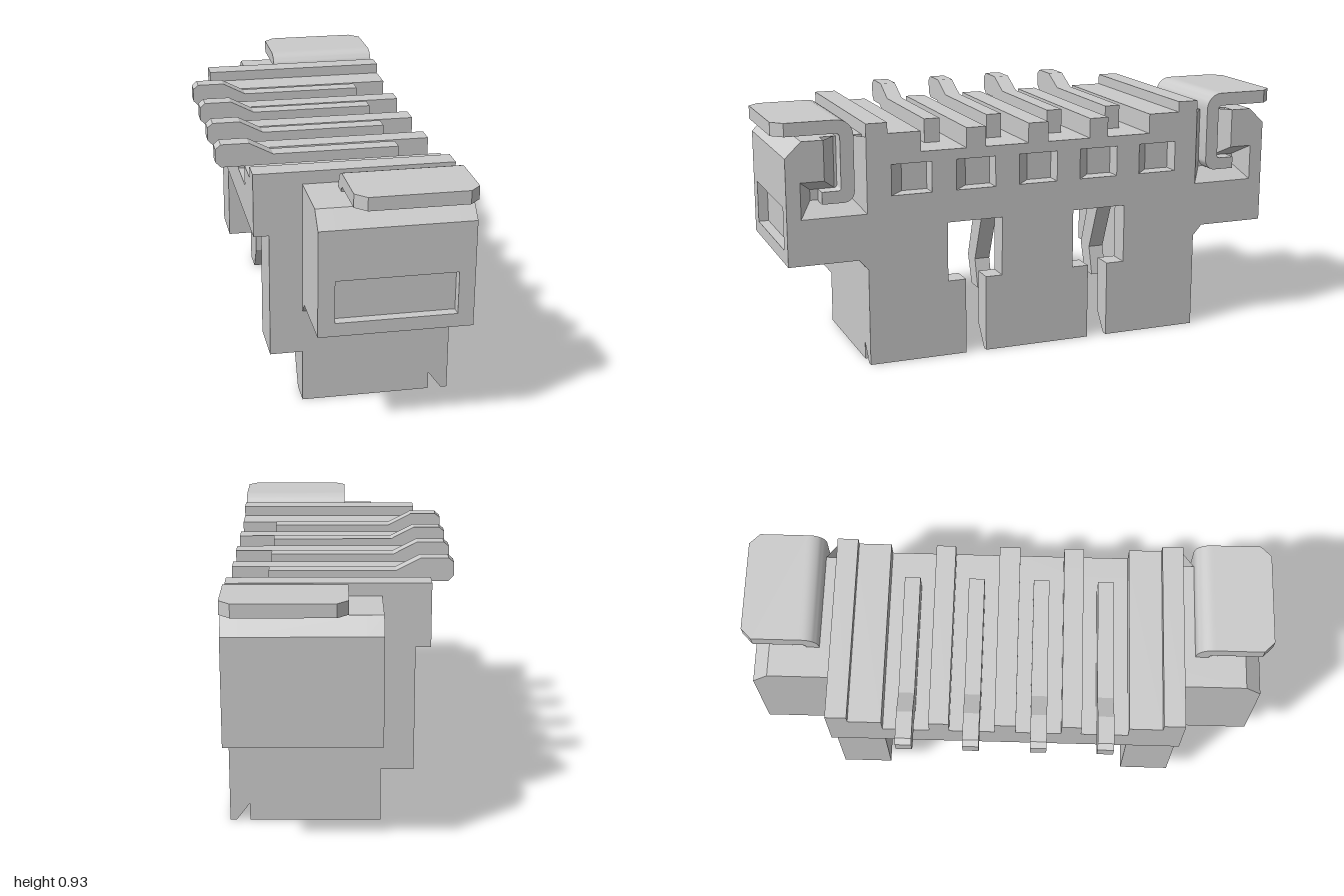
import * as THREE from 'three';
import { toCreasedNormals } from 'three/addons/utils/BufferGeometryUtils.js';

const plastic = new THREE.MeshStandardMaterial({ color: 0xcbcbcb, side: THREE.DoubleSide });
plastic.name = 'light grey';

const FACE = 0.413; // x of the slotted long face
const toShape = (pts) => new THREE.Shape(pts.map(([a, b]) => new THREE.Vector2(a, b)));
const prism = (shape, depth) => new THREE.ExtrudeGeometry(shape, { depth, bevelEnabled: false });

// Extrude a (z, y) outline from x0 to x1
function alongX(pts, x0, x1, holes = []) {
  const flip = (list) => list.map(([z, y]) => [-z, y]);
  const shape = toShape(flip(pts));
  shape.holes = holes.map((h) => toShape(flip(h)));
  return prism(shape, x1 - x0).rotateY(Math.PI / 2).translate(x0, 0, 0);
}

// Extrude an (x, z) outline from y0 to y1
function alongY(pts, y0, y1) {
  return prism(toShape(pts.map(([x, z]) => [x, -z])), y1 - y0).rotateX(-Math.PI / 2).translate(0, y0, 0);
}

// Extrude an (x, y) outline from z0 to z1
const alongZ = (pts, z0, z1) => prism(toShape(pts), z1 - z0).translate(0, 0, z0);

// Points on an arc, angles in degrees
function arc(cz, cy, r, a0, a1, n = 8) {
  return Array.from({ length: n + 1 }, (_, i) => {
    const a = THREE.MathUtils.degToRad(a0 + ((a1 - a0) * i) / n);
    return [cz + r * Math.cos(a), cy + r * Math.sin(a)];
  });
}

// Open strip of walls between two matching (z, y) outlines
function taper(a, b, xa, xb) {
  const pos = [];
  for (let i = 0; i < a.length - 1; i++) {
    const p = [xa, a[i][1], a[i][0]], q = [xa, a[i + 1][1], a[i + 1][0]];
    const r = [xb, b[i + 1][1], b[i + 1][0]], s = [xb, b[i][1], b[i][0]];
    pos.push(...p, ...q, ...r, ...p, ...r, ...s);
  }
  const g = new THREE.BufferGeometry();
  g.setAttribute('position', new THREE.Float32BufferAttribute(pos, 3));
  g.computeVertexNormals();
  return g;
}

export function createModel() {
  const model = new THREE.Group();
  model.name = 'connector';
  const add = (name, geometry, parent = model) => {
    const mesh = new THREE.Mesh(geometry, plastic);
    mesh.name = name;
    parent.add(mesh);
  };

  // Ribbed top outline, from +z to -z
  const halfComb = [[0.665, 0.905], [0.585, 0.905], [0.585, 0.865], [0.46, 0.865], [0.46, 0.79],
    [0.285, 0.79], [0.285, 0.865], [0.21, 0.865], [0.21, 0.79], [0.04, 0.79], [0.04, 0.865]];
  const mirrored = (pts) => pts.map(([z, y]) => [-z, y]).reverse();
  const comb = [...halfComb, ...mirrored(halfComb)];
  add('roof', alongX([...comb, [-0.665, 0.67], [0.665, 0.67]], -0.315, 0.33));

  // Slotted long wall with five small windows in its outer layer
  const slot = [[0.21, 0.08], [0.21, 0.29], [0.145, 0.29], [0.145, 0.515],
    [0.36, 0.515], [0.36, 0.29], [0.29, 0.29], [0.29, 0.08]];
  const wall = [...comb, [-0.665, 0.08], ...mirrored(slot), ...slot, [0.665, 0.08]];
  const centres = [-2, -1, 0, 1, 2].map((i) => i * 0.248);
  const windows = centres.map((c) => [[c - 0.077, 0.635], [c + 0.077, 0.635], [c + 0.077, 0.75], [c - 0.077, 0.75]]);
  add('wallInner', alongX(wall, 0.33, 0.35));
  add('wallOuter', alongX(wall, 0.35, FACE, windows));
  for (const c of centres) {
    add('windowRamp', alongY([[FACE, c + 0.077], [0.35, c + 0.077], [0.35, c + 0.02]], 0.635, 0.75));
  }

  // Bevelled lower edge of the long wall, between the slots
  for (const [z0, z1] of [[-0.665, -0.29], [-0.21, 0.21], [0.29, 0.665]]) {
    add('wallLeadIn', alongZ([[FACE, 0], [0.39, 0], [0.33, 0.08], [FACE, 0.08]], z0, z1));
  }

  // Contacts: a tail lying in a roof groove and a sprung arm inside the cavity
  const tail = [[-0.413, 0.86], [-0.393, 0.84], [-0.31, 0.84], [-0.22, 0.785], [0.27, 0.785],
    [0.27, 0.88], [-0.2, 0.88], [-0.29, 0.927], [-0.393, 0.927], [-0.413, 0.91]];
  const arm = [[0.3, 0.68], [0.2, 0.68], [0.06, 0.28], [0.1, 0.17], [0.17, 0.17], [0.14, 0.28]];
  for (const z of [-0.37, -0.124, 0.124, 0.37]) {
    add('contactTail', alongZ(tail, z - 0.03, z + 0.03));
    add('contactArm', alongZ(arm, z - 0.03, z + 0.03));
  }

  for (const s of [1, -1]) {
    const side = new THREE.Group();
    side.name = s > 0 ? 'frontEnd' : 'backEnd';
    model.add(side);
    const m = (pts) => pts.map(([z, y]) => [z * s, y]);

    // Stepped end wall with lead-in chamfer
    const endWall = (t) => m([[0.665, 0], [0.565, 0], [0.665 - t, 0.1], [0.665 - t, 0.67], [0.665, 0.67]]);
    add('endWallThin', alongX(endWall(0.12), 0.14, 0.34), side);
    add('endWallThick', alongX(endWall(0.16), -0.14, 0.14), side);
    add('endWallStep', alongX(m([[0.665, 0.2], [0.475, 0.2], [0.475, 0.67], [0.665, 0.67]]), -0.26, -0.14), side);

    // Ear block; the front one has a shallow rectangular recess
    const base = [[0.665, 0.365], [0.7, 0.405], [0.96, 0.405]];
    const top = [[0.96, 0.8], [0.9, 0.858]];
    const recess = s > 0 ? [[0.96, 0.455], [0.922, 0.455], [0.922, 0.613], [0.96, 0.613]] : [];
    const pocket = [[0.82, 0.858], [0.82, 0.71], [0.908, 0.71], [0.908, 0.575], [0.665, 0.575], [0.665, 0.858]];
    const pocketFloor = [[0.77, 0.858], [0.77, 0.67], [0.86, 0.67], [0.86, 0.63], [0.71, 0.63], [0.71, 0.858]];
    add('earInner', alongX(m([...base, ...top, [0.665, 0.858]]), -0.14, -0.08), side);
    add('earMiddle', alongX(m([...base, ...recess, ...top, [0.665, 0.858]]), -0.08, 0.355), side);
    add('earOuter', alongX(m([...base, ...top, ...pocket.slice(0, 5)]), 0.355, FACE), side);
    add('clipPocket', taper(m(pocket), m(pocketFloor), FACE, 0.355), side);

    // Bent solder clip with a chamfered tab
    const bend = [[0.78, 0.927], ...arc(0.77, 0.867, 0.06, 90, 180), ...arc(0.75, 0.665, 0.04, 180, 270),
      [0.83, 0.625], [0.83, 0.67], ...arc(0.77, 0.68, 0.01, 270, 180, 3),
      ...arc(0.775, 0.863, 0.015, 180, 90, 4), [0.78, 0.878]];
    add('clipBend', toCreasedNormals(alongX(m(bend), -0.02, FACE), 0.6), side);
    add('clipTab', alongY(m([[0.78, -0.02], [0.96, -0.02], [1, 0.02], [1, 0.373], [0.96, FACE], [0.78, FACE]])
      .map(([z, x]) => [x, z]), 0.878, 0.927), side);
  }
  return model;
}
